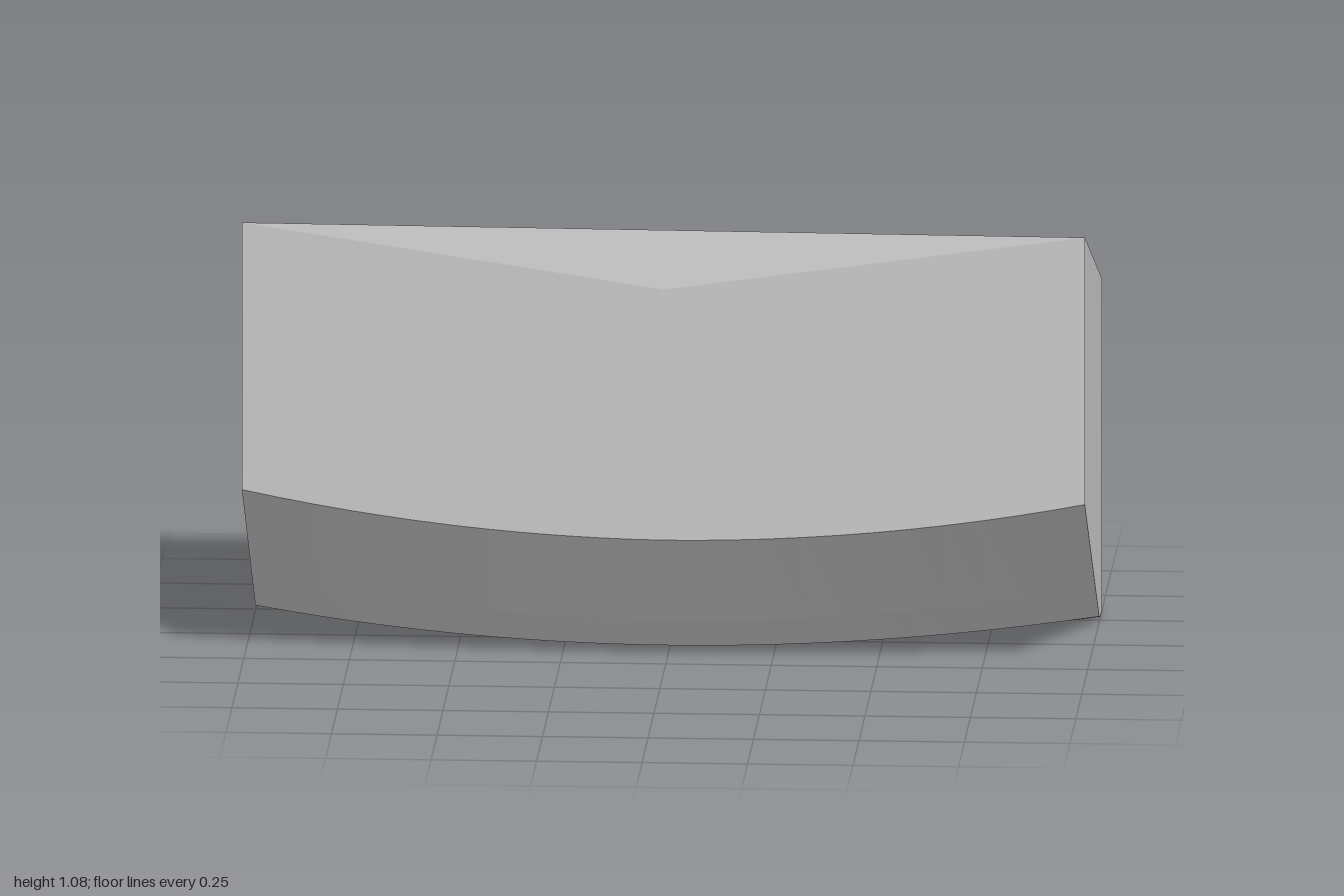
import * as THREE from 'three';

const STATIONS = 24;
const mix = THREE.MathUtils.lerp;

// Outline [z, y] of the block at a given x: front top, down, underneath, up the back
function section(x) {
  const t = (x + 1) / 2;
  const bulge = 1 - Math.abs(x);            // faces swell slightly at the middle
  const curve = 1 - x * x;
  const topFront = mix(0.33, 0.37, t), back = mix(-0.37, -0.355, t);
  const front = topFront + 0.02 * bulge;
  const backMid = back - 0.0075 * bulge;
  const chinY = 0.33 + 0.1 * x * x;
  const keelZ = 0.115 - 0.35 * x * x;
  return [
    [topFront, 1.08],
    [front, 1.08 - 0.14 * bulge],
    [front, chinY],
    [mix(keelZ, front, 0.27) + 0.006 * curve, mix(0.013, chinY, 0.27) - 0.008 * curve],
    [keelZ, 0.013],
    [mix(keelZ, back, 0.3), 0.003],
    [back, 0],
    [backMid, 0.1 * bulge],
    [backMid, 0.805 - 0.055 * bulge],
    [back, mix(0.812, 0.802, t)],
  ];
}

// Joins the outlines into a closed flat-shaded solid
function loft() {
  const rings = [];
  for (let i = 0; i <= STATIONS; i++) {
    const x = -1 + (2 * i) / STATIONS;
    rings.push(section(x).map(([z, y]) => [x, y, z]));
  }
  const n = rings[0].length, pos = [];
  const tri = (a, b, c) => pos.push(...a, ...b, ...c);
  for (let i = 0; i < STATIONS; i++) {
    for (let j = 0; j < n; j++) {
      const k = (j + 1) % n;
      const a = rings[i][j], b = rings[i][k], c = rings[i + 1][k], d = rings[i + 1][j];
      tri(a, b, c);
      tri(a, c, d);
    }
  }
  // End caps
  const first = rings[0], last = rings[STATIONS];
  for (let j = 1; j < n - 1; j++) {
    tri(last[0], last[j], last[j + 1]);
    tri(first[0], first[j + 1], first[j]);
  }
  const geometry = new THREE.BufferGeometry();
  geometry.setAttribute('position', new THREE.Float32BufferAttribute(pos, 3));
  geometry.computeVertexNormals();
  return geometry;
}

export function createModel() {
  const group = new THREE.Group();
  group.name = 'slopedBlock';
  const body = new THREE.Mesh(
    loft(),
    new THREE.MeshStandardMaterial({ color: 0xcccccc, flatShading: true })
  );
  body.name = 'body';
  group.add(body);
  return group;
}
